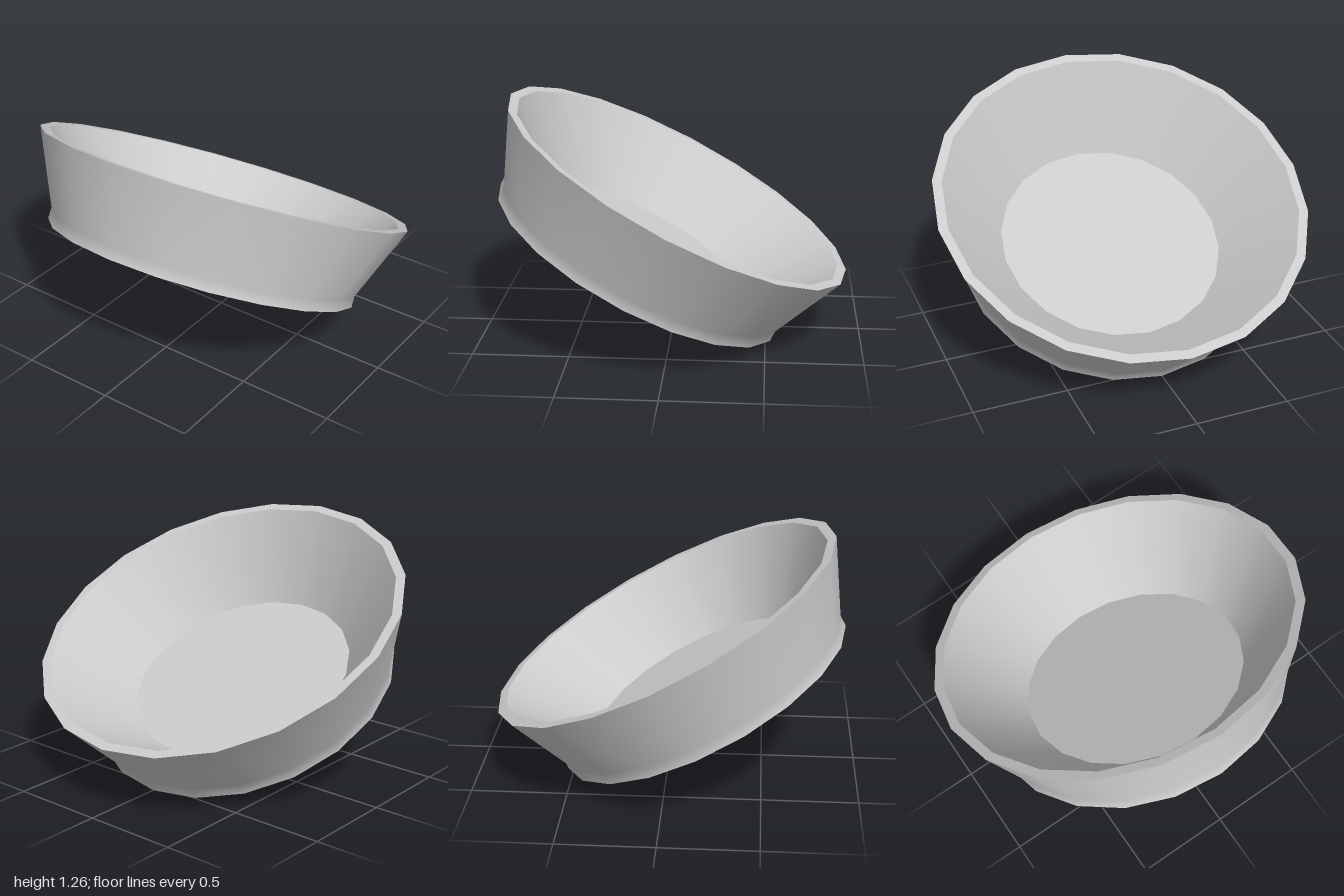
import * as THREE from 'three';

const SIDES = 20;
const material = new THREE.MeshStandardMaterial({ color: 0xcccccc });

// One smooth band of the bowl; separate bands keep hard edges between them
function band(name, profile) {
  const points = profile.map(([r, h]) => new THREE.Vector2(r, h));
  const mesh = new THREE.Mesh(new THREE.LatheGeometry(points, SIDES), material);
  mesh.name = name;
  return mesh;
}

export function createModel() {
  const bowl = new THREE.Group();
  bowl.name = 'bowl';

  const foot = 0.837, step = 0.06, height = 0.465;
  bowl.add(
    band('underside', [[0, 0], [foot, 0]]),
    // Short upright foot blending into the flared wall
    band('outerWall', [[foot, 0], [foot - 0.002, step], [1, height]]),
    band('rim', [[1, height], [0.95, height]]),
    band('innerWall', [[0.95, height], [0.605, step]]),
    band('floor', [[0.605, step], [0, step]])
  );

  // The whole bowl leans backwards, front edge raised
  const tilt = THREE.MathUtils.degToRad(27.6);
  bowl.rotation.x = -tilt;
  bowl.position.set(0, foot * Math.sin(tilt), 0.18);

  const model = new THREE.Group();
  model.name = 'tiltedBowl';
  model.add(bowl);
  return model;
}
